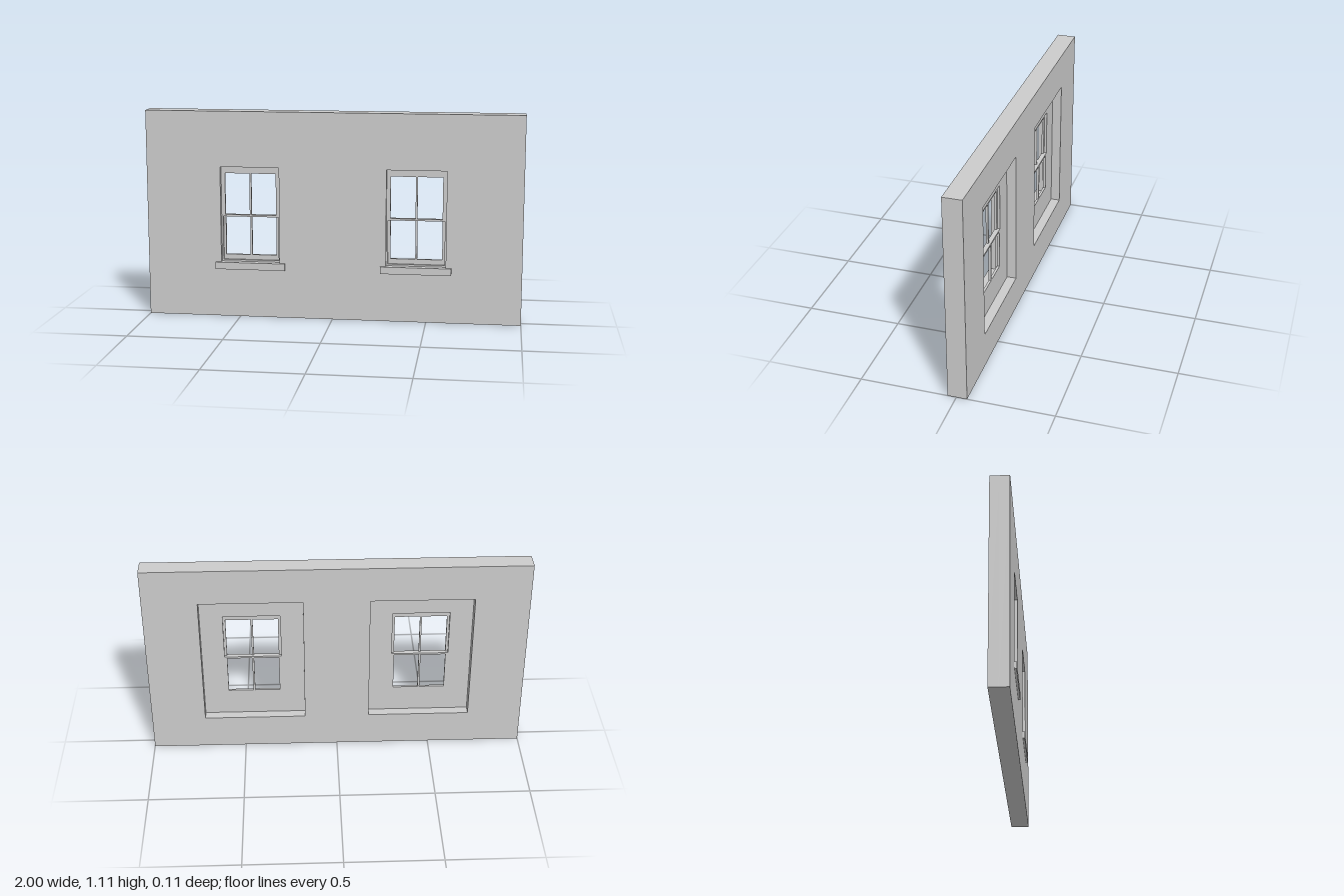
import * as THREE from 'three';

const material = new THREE.MeshStandardMaterial({ color: 0xcccccc, flatShading: true });
const rect = (x0, x1, y0, y1) => [[x0, y0], [x1, y0], [x1, y1], [x0, y1]].map(p => new THREE.Vector2(...p));

// Rectangular panel with rectangular holes, spanning z0..z1
function panel(name, outer, holes, z0, z1) {
  const shape = new THREE.Shape(rect(...outer));
  holes.forEach(h => shape.holes.push(new THREE.Path(rect(...h))));
  const geometry = new THREE.ExtrudeGeometry(shape, { depth: z1 - z0, bevelEnabled: false });
  geometry.translate(0, 0, z0);
  const mesh = new THREE.Mesh(geometry, material);
  mesh.name = name;
  return mesh;
}

const CENTER = 0.443;               // window offset from the middle of the wall
const FRONT = 0.045, BACK = -0.055; // wall faces
const FLOOR = -0.005;               // floor of the interior recess
const SASH = 0.008, FACE = 0.02;    // plane between the sashes, face of the frame

function createWindow() {
  const group = new THREE.Group();
  const half = 0.15, glass = 0.137, bar = 0.005;
  const panes = (y0, y1) => [[-glass, -bar, y0, y1], [bar, glass, y0, y1]];

  group.add(
    panel('frame', [-0.158, 0.158, 0.298, 0.814], [[-half, half, 0.307, 0.806]], FLOOR, FACE),
    // Outer sash above, inner sash below
    panel('upperSash', [-half, half, 0.543, 0.806], panes(0.553, 0.777), SASH, FACE),
    panel('lowerSash', [-half, half, 0.307, 0.553], panes(0.334, 0.543), FLOOR, SASH),
    panel('sill', [-0.188, 0.188, 0.26, 0.298], [], FRONT, 0.057)
  );
  return group;
}

export function createModel() {
  const model = new THREE.Group();
  const sides = [-CENTER, CENTER];
  const wall = [-1, 1, 0, 1.11];

  // Outer leaf holds the window openings, inner leaf the wider recesses
  model.add(
    panel('wallOuterLeaf', wall, sides.map(c => [c - 0.158, c + 0.158, 0.298, 0.814]), FLOOR, FRONT),
    panel('wallInnerLeaf', wall, sides.map(c => [c - 0.27, c + 0.27, 0.187, 0.916]), BACK, FLOOR)
  );

  sides.forEach((c, i) => {
    const unit = createWindow();
    unit.name = i ? 'leftWindow' : 'rightWindow';
    unit.position.x = c;
    model.add(unit);
  });
  return model;
}
